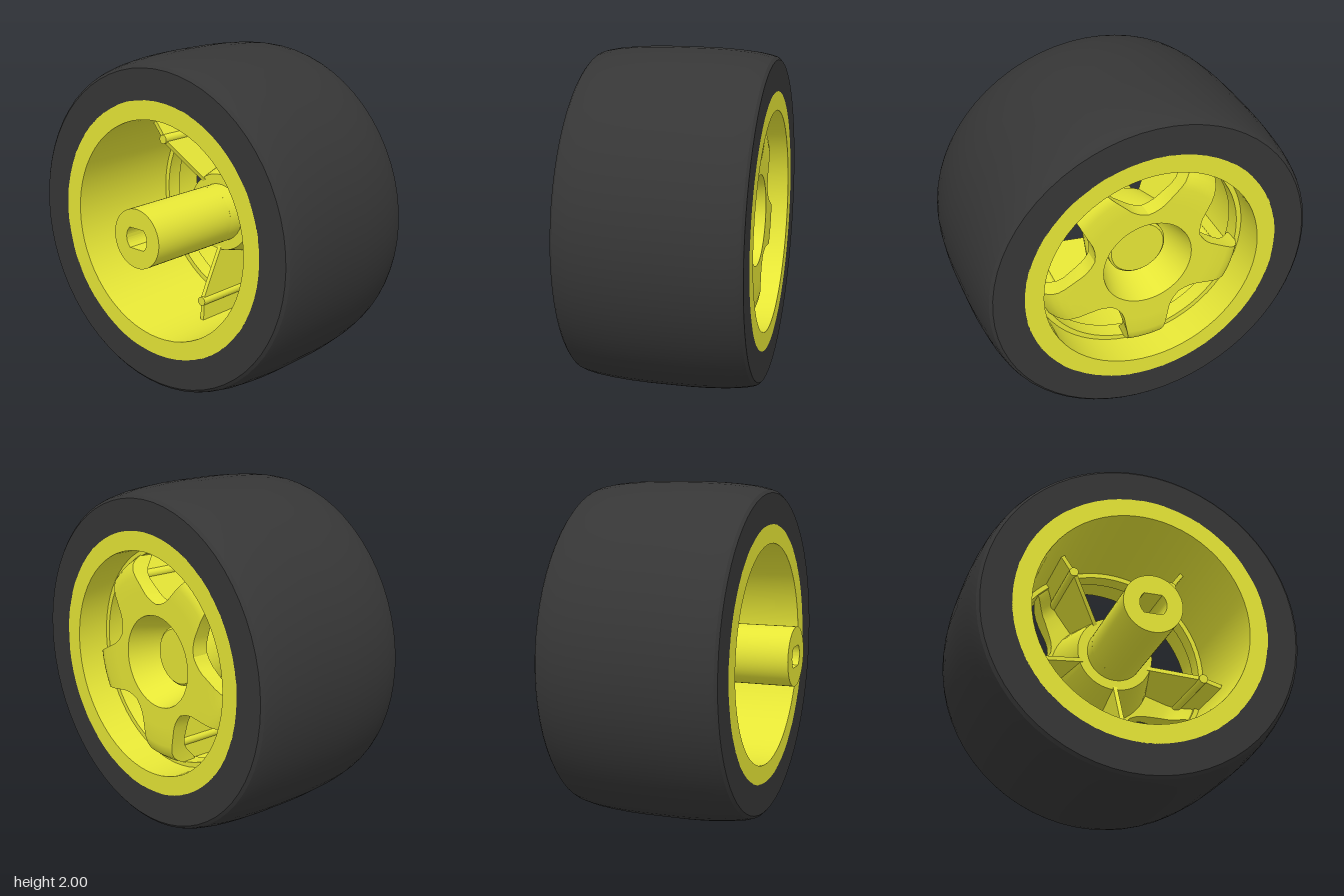
import * as THREE from 'three';
import { toCreasedNormals } from 'three/addons/utils/BufferGeometryUtils.js';

const yellow = new THREE.MeshStandardMaterial({ color: 0xe6e636 });
const rubber = new THREE.MeshStandardMaterial({ color: 0x363636 });

function addMesh(parent, name, geometry, material) {
  const mesh = new THREE.Mesh(geometry, material);
  mesh.name = name;
  parent.add(mesh);
  return mesh;
}

// Revolve a closed profile of [radius, z] points around the z axis
function revolve(profile, segments = 64, crease = 0.5) {
  const points = [...profile, profile[0]].map(([r, z]) => new THREE.Vector2(r, z));
  const geometry = new THREE.LatheGeometry(points, segments).rotateX(Math.PI / 2);
  return toCreasedNormals(geometry, crease);
}

// Spoke along +y: polar rows with a back edge, a front edge and a half angle
function spokeGeometry() {
  // [back radius, back z, front radius, front z, half angle in degrees]
  const rows = [
    [0.295, -0.52, 0.295, -0.42, 36],
    [0.338, -0.52, 0.338, -0.42, 36],
    [0.342, -0.52, 0.342, -0.42, 33.5],
    [0.350, -0.52, 0.350, -0.42, 29.5],
    [0.368, -0.52, 0.368, -0.42, 25],
    [0.395, -0.52, 0.395, -0.42, 21.2],
    [0.500, -0.52, 0.470, -0.42, 14.2],
    [0.540, -0.512, 0.510, -0.412, 12.2],
    [0.575, -0.49, 0.545, -0.39, 10.8],
    [0.602, -0.455, 0.575, -0.36, 9.8],
    [0.622, -0.41, 0.600, -0.335, 9.1],
    [0.640, -0.37, 0.630, -0.32, 8.6],
  ];
  const columns = 8, ring = 2 * (columns + 1);
  const positions = [], indices = [];
  for (const [rBack, zBack, rFront, zFront, degrees] of rows) {
    for (let i = 0; i < ring; i++) {
      const back = i <= columns;
      const u = back ? i : ring - 1 - i;
      const angle = THREE.MathUtils.degToRad(degrees) * (2 * u / columns - 1);
      const r = back ? rBack : rFront;
      positions.push(r * Math.sin(angle), r * Math.cos(angle), back ? zBack : zFront);
    }
  }
  for (let j = 0; j < rows.length - 1; j++) {
    for (let i = 0; i < ring; i++) {
      const next = (i + 1) % ring;
      const a = j * ring + i, b = j * ring + next;
      const c = b + ring, d = a + ring;
      indices.push(a, d, c, a, c, b);
    }
  }
  const geometry = new THREE.BufferGeometry();
  geometry.setAttribute('position', new THREE.Float32BufferAttribute(positions, 3));
  geometry.setIndex(indices);
  return toCreasedNormals(geometry, 0.6);
}

// Thin rib standing on the spoke, drawn as (radius, z) and given a width along x
function ribGeometry() {
  const outline = [
    [0.28, -0.45], [0.53, -0.45], [0.61, -0.38], [0.65, -0.35],
    [0.65, 0.06], [0.50, 0.05], [0.215, -0.1], [0.215, -0.14],
  ].map(([r, z]) => new THREE.Vector2(r, z));
  const geometry = new THREE.ExtrudeGeometry(new THREE.Shape(outline), { depth: 0.026, bevelEnabled: false });
  geometry.translate(0, 0, -0.013);
  return geometry.applyMatrix4(new THREE.Matrix4().makeBasis(
    new THREE.Vector3(0, 1, 0), new THREE.Vector3(0, 0, 1), new THREE.Vector3(1, 0, 0)));
}

// Hub tube with a blind axle hole flattened on two sides
function hubTubeGeometry() {
  const shape = new THREE.Shape().absarc(0, 0, 0.175, 0, Math.PI * 2);
  const flat = Math.asin(0.06 / 0.08);
  const hole = new THREE.Path();
  hole.absarc(0, 0, 0.08, -flat, flat);
  hole.absarc(0, 0, 0.08, Math.PI - flat, Math.PI + flat);
  hole.closePath();
  shape.holes.push(hole);
  const geometry = new THREE.ExtrudeGeometry(shape, { depth: 0.6, bevelEnabled: false, curveSegments: 24 });
  return toCreasedNormals(geometry, 0.5);
}

export function createModel() {
  const model = new THREE.Group();
  model.name = 'wheel';
  const wheel = new THREE.Group();
  wheel.name = 'wheelAssembly';
  wheel.position.y = 1;
  model.add(wheel);

  // Tyre with a gently crowned tread
  const half = [[1, 0.12], [0.997, 0.22], [0.99, 0.32], [0.98, 0.41], [0.966, 0.48], [0.957, 0.505], [0.94, 0.52]];
  const middle = -0.08;
  addMesh(wheel, 'tyre', revolve([
    [0.76, middle - 0.52],
    ...half.slice().reverse().map(([r, z]) => [r, middle - z]),
    ...half.map(([r, z]) => [r, middle + z]),
    [0.76, middle + 0.52],
  ]), rubber);

  // Rim barrel with an inner step ring
  addMesh(wheel, 'rim', revolve([
    [0.65, -0.6], [0.762, -0.6], [0.762, 0.44], [0.65, 0.44],
    [0.65, -0.3], [0.62, -0.3], [0.62, -0.4], [0.65, -0.4],
  ]), yellow);

  // Conical centre dish, open to the back
  addMesh(wheel, 'centreDish', revolve([
    [0.27, -0.52], [0.3, -0.52], [0.32, -0.42], [0.235, -0.1],
    [0.17, -0.1], [0.17, -0.2], [0.19, -0.2],
  ]), yellow);

  // Hub: solid rear end and hollow front tube
  addMesh(wheel, 'hubTube', hubTubeGeometry(), yellow);
  addMesh(wheel, 'hubCore', revolve([
    [0, -0.37], [0.162, -0.37], [0.175, -0.357], [0.175, 0.0], [0, 0.0],
  ]), yellow);

  // Five spokes, each with a rib and a pin on its front side
  const spoke = spokeGeometry();
  const rib = ribGeometry();
  const pin = new THREE.CylinderGeometry(0.028, 0.028, 0.49, 16).rotateX(Math.PI / 2);
  for (let k = 0; k < 5; k++) {
    const arm = new THREE.Group();
    arm.name = `spokeArm${k + 1}`;
    arm.rotation.z = Math.PI + k * Math.PI * 2 / 5;
    addMesh(arm, 'spoke', spoke, yellow);
    addMesh(arm, 'rib', rib, yellow);
    addMesh(arm, 'pin', pin, yellow).position.set(0, 0.53, -0.18);
    wheel.add(arm);
  }
  return model;
}
